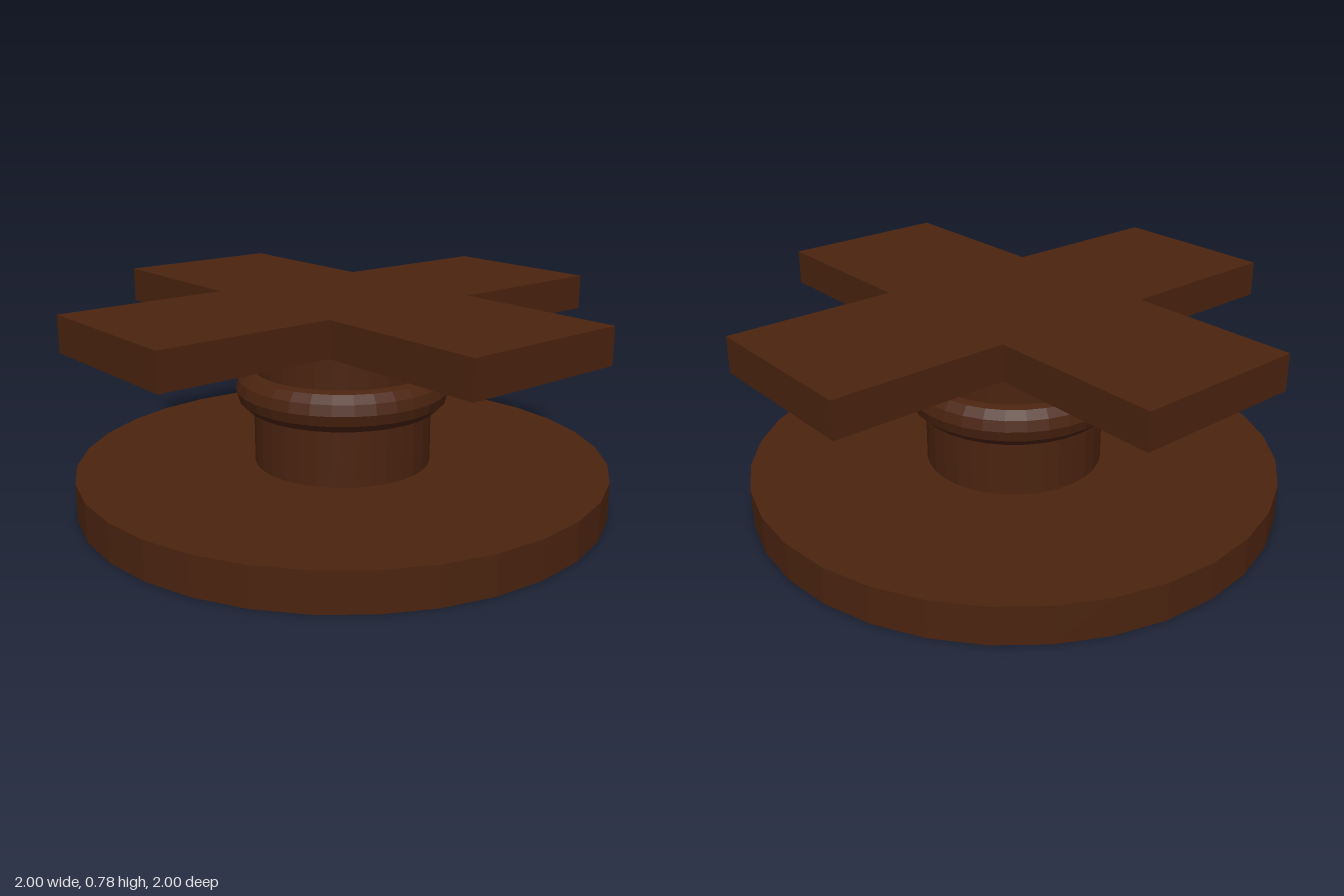
import * as THREE from 'three';

export function createModel() {
  const model = new THREE.Group();
  const brown = new THREE.MeshStandardMaterial({ color: 0x4a230f });
  brown.flatShading = true;

  const add = (name, geometry, y) => {
    const mesh = new THREE.Mesh(geometry, brown);
    mesh.name = name;
    mesh.position.y = y;
    model.add(mesh);
    return mesh;
  };

  // Round foot and central post
  add('base', new THREE.CylinderGeometry(1, 1, 0.145, 32), 0.0725);
  add('post', new THREE.CylinderGeometry(0.333, 0.333, 0.51, 32), 0.4);

  // Rounded collar around the post
  const collar = new THREE.TorusGeometry(0.322, 0.078, 12, 32);
  collar.rotateX(Math.PI / 2);
  add('collar', collar, 0.429);

  // Cross-shaped top: one inner and two outer corners per arm
  const L = 0.972, W = 0.323;
  const outline = [];
  for (let i = 0; i < 4; i++) {
    const turn = (i * Math.PI) / 2;
    for (const [x, y] of [[W, -W], [L, -W], [L, W]]) {
      outline.push(new THREE.Vector2(x, y).rotateAround(new THREE.Vector2(), turn));
    }
  }
  const cross = new THREE.ExtrudeGeometry(new THREE.Shape(outline), { depth: 0.132, bevelEnabled: false });
  cross.rotateX(-Math.PI / 2);
  add('crossTop', cross, 0.648);

  return model;
}
